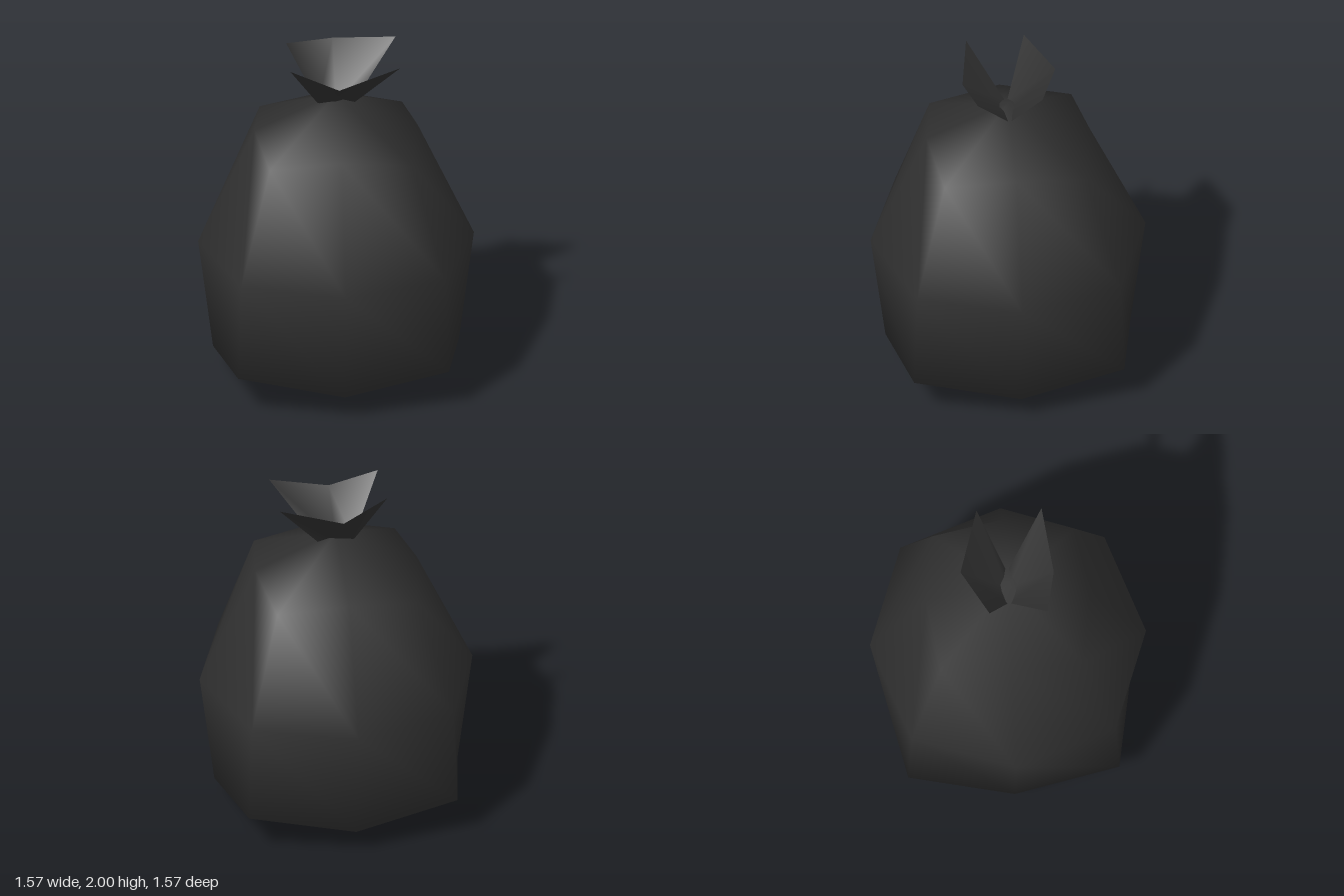
import * as THREE from 'three';

const blackPlastic = new THREE.MeshStandardMaterial({ color: 0x303030 });
blackPlastic.name = 'blackPlastic';
const blackPlasticSheet = blackPlastic.clone();
blackPlasticSheet.name = 'blackPlastic';
blackPlasticSheet.side = THREE.DoubleSide;

function smoothMesh(name, points, index, material) {
  const geometry = new THREE.BufferGeometry();
  geometry.setAttribute('position', new THREE.Float32BufferAttribute(points.flat(), 3));
  geometry.setIndex(index);
  geometry.computeVertexNormals();
  const mesh = new THREE.Mesh(geometry, material);
  mesh.name = name;
  return mesh;
}

// Closed sack: three eight-sided rings between a bottom and a top point
function makeSack() {
  // side = reach and height at side middles, corner = x/z offset and height at corners
  const rings = [
    { side: [0.465, 1.515], corner: [0.405, 1.46] },
    { side: [0.785, 0.82], corner: [0.58, 0.815] },
    { side: [0.7, 0.15], corner: [0.6, 0.24] },
  ];
  const points = [];
  for (const { side, corner } of rings) {
    for (let i = 0; i < 8; i++) {
      const a = (i * Math.PI) / 4;
      const [reach, y] = i % 2 ? [corner[0] * Math.SQRT2, corner[1]] : side;
      points.push([Math.sin(a) * reach, y, Math.cos(a) * reach]);
    }
  }
  const top = points.push([0, 1.73, 0]) - 1;
  const bottom = points.push([0, 0, 0]) - 1;

  const index = [];
  for (let i = 0; i < 8; i++) {
    const j = (i + 1) % 8;
    index.push(top, i, j, bottom, 16 + j, 16 + i);
    for (let r = 0; r < 16; r += 8) {
      index.push(r + i, r + 8 + i, r + 8 + j, r + i, r + 8 + j, r + j);
    }
  }
  return smoothMesh('sack', points, index, blackPlastic);
}

// Flared sheet of plastic above the knot: left, middle and right tips
function makeFlap(name, tips, baseZ) {
  const base = [-0.1, 0, 0.1].map((x) => [x, 1.67, baseZ]);
  const index = [0, 1, 4, 0, 4, 3, 1, 2, 5, 1, 5, 4];
  return smoothMesh(name, [...base, ...tips], index, blackPlasticSheet);
}

export function createModel() {
  const model = new THREE.Group();
  model.name = 'garbageBag';
  model.add(
    makeSack(),
    makeFlap('frontFlap', [[-0.275, 1.985, 0.21], [0, 1.88, 0.26], [0.35, 1.985, 0.21]], 0.005),
    makeFlap('backFlap', [[-0.275, 2, -0.12], [0, 1.95, -0.27], [0.35, 2, -0.16]], -0.005),
  );
  return model;
}
